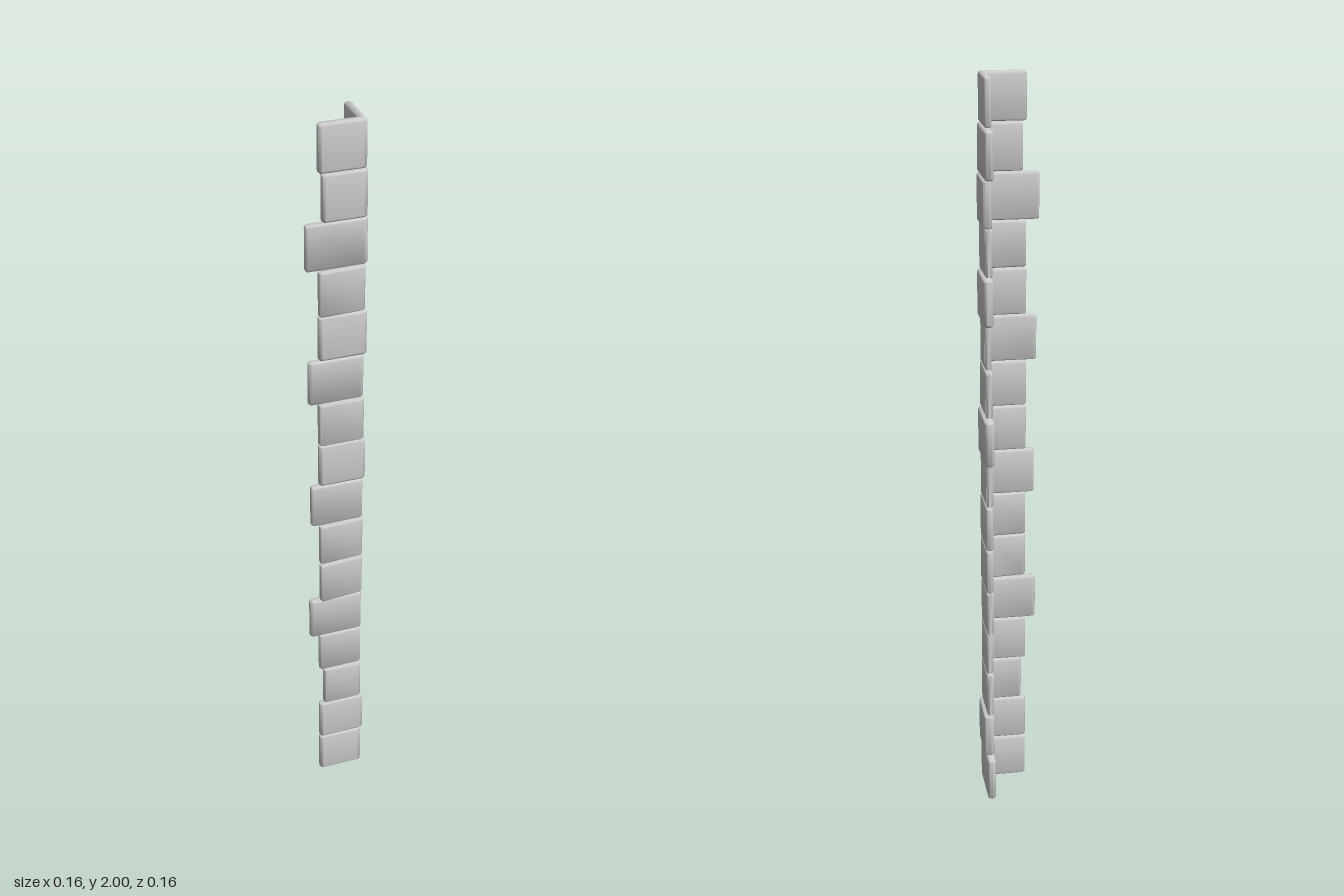
import * as THREE from 'three';
import { toCreasedNormals } from 'three/addons/utils/BufferGeometryUtils.js';

const ROWS = 16, PITCH = 2 / ROWS, BEVEL = 0.007;
const INNER_X = 0.053, INNER_Z = 0.047; // planes of the wall faces behind the stones

// Per stone, bottom to top: [x arm end, outer x, z arm end, outer z, outward skew of x arm end]
const STONES = [
  [-0.05, 0.075, -0.08, 0.07, 0],
  [-0.05, 0.08, -0.053, 0.07, 0],
  [-0.038, 0.072, -0.053, 0.071, 0],
  [-0.05, 0.072, -0.04, 0.068, 0],
  [-0.077, 0.072, -0.053, 0.069, 0],
  [-0.05, 0.073, -0.053, 0.071, 0.009],
  [-0.05, 0.073, -0.053, 0.071, 0.005],
  [-0.072, 0.072, -0.053, 0.069, 0],
  [-0.05, 0.078, -0.08, 0.07, 0],
  [-0.05, 0.072, -0.053, 0.073, 0],
  [-0.077, 0.071, -0.033, 0.068, 0],
  [-0.05, 0.078, -0.07, 0.07, 0],
  [-0.05, 0.072, -0.053, 0.071, 0.004],
  [-0.083, 0.078, -0.053, 0.067, 0],
  [-0.041, 0.076, -0.08, 0.07, 0],
  [-0.05, 0.073, -0.053, 0.07, 0],
];

// Closed outline through [x, y, radius] corners, each rounded by a curve
function roundedShape(corners) {
  const shape = new THREE.Shape();
  const pts = corners.map(([x, y]) => new THREE.Vector2(x, y));
  corners.forEach(([, , r], i) => {
    const p = pts[i];
    const toward = (q) => p.clone().add(q.clone().sub(p).setLength(r));
    const a = toward(pts[(i + pts.length - 1) % pts.length]);
    const b = toward(pts[(i + 1) % pts.length]);
    if (i === 0) shape.moveTo(a.x, a.y);
    else shape.lineTo(a.x, a.y);
    shape.quadraticCurveTo(p.x, p.y, b.x, b.y);
  });
  shape.closePath();
  return shape;
}

// L-shaped stone with soft edges; plan is drawn with y = -z, inset by the bevel
function stoneGeometry([endX, outX, endZ, outZ, skew]) {
  const b = BEVEL, r = 0.0028;
  const shape = roundedShape([
    [endX + b, -(outZ + skew - b), r],
    [outX - b, -(outZ - b), 0.005],
    [outX - b, -(endZ + b), r],
    [INNER_X + b, -(endZ + b), r],
    [INNER_X + b, -(INNER_Z + b), 0.009],
    [endX + b, -(INNER_Z + skew + b), r],
  ]);
  const geo = new THREE.ExtrudeGeometry(shape, {
    depth: PITCH - 0.001 - 2 * b,
    bevelEnabled: true, bevelSize: b, bevelThickness: b, bevelSegments: 3,
    curveSegments: 4,
  });
  geo.translate(0, 0, b);
  geo.rotateX(-Math.PI / 2);
  return toCreasedNormals(geo, 0.8);
}

export function createModel() {
  const group = new THREE.Group();
  group.name = 'cornerStones';
  const material = new THREE.MeshStandardMaterial({ color: 0xcccccc });

  // Stack of corner stones
  STONES.forEach((stone, i) => {
    const mesh = new THREE.Mesh(stoneGeometry(stone), material);
    mesh.name = `cornerStone${i + 1}`;
    mesh.position.y = i * PITCH + (i === ROWS - 1 ? 0.001 : 0);
    group.add(mesh);
  });
  return group;
}
